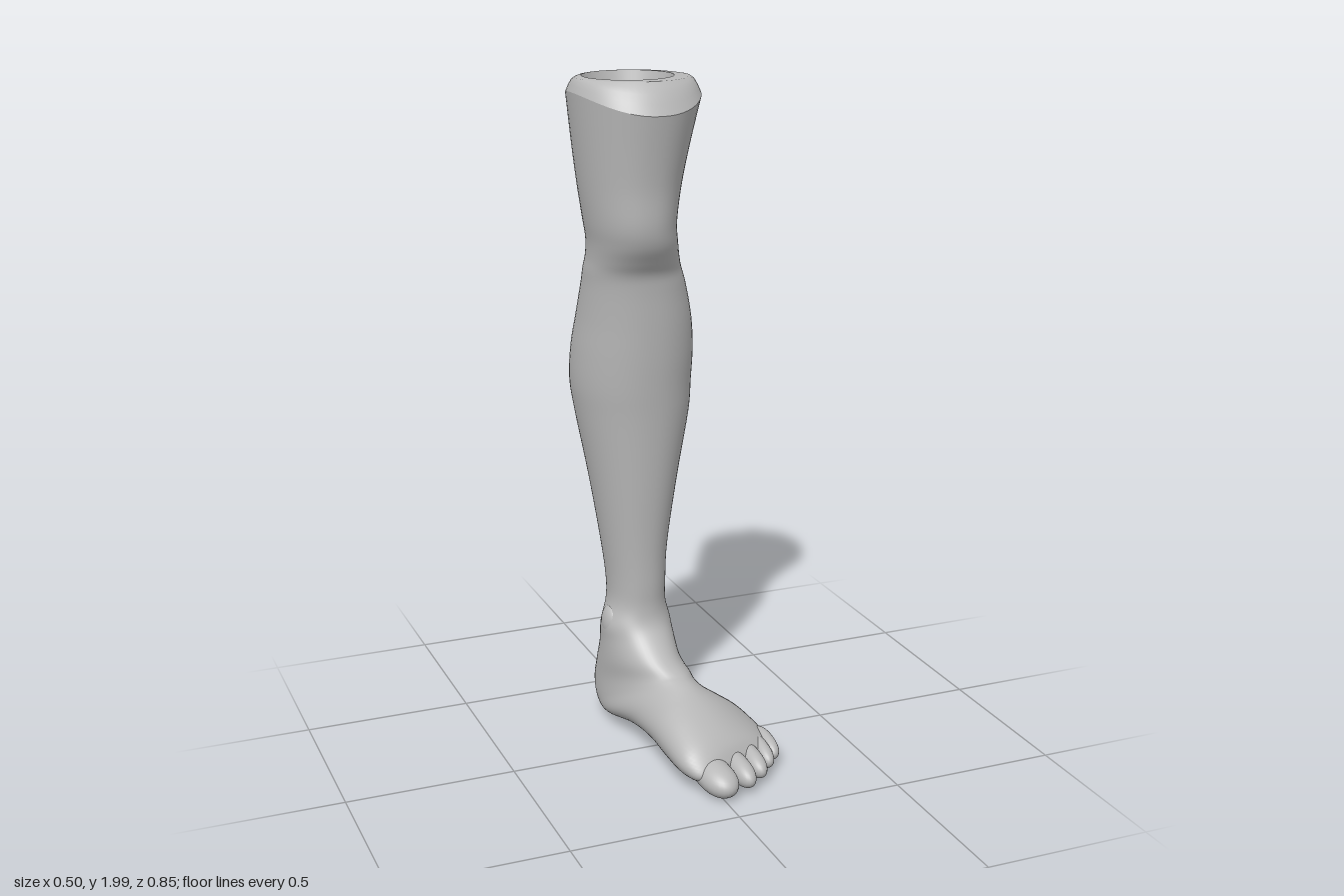
import * as THREE from 'three';

const SEG = 56;

// Shin and knee, top to bottom: [y, xMin, xMax, zFront, zBack]
const LEG = [
  [1.91, -0.248, 0.12, 0.086, -0.344],
  [1.8, -0.235, 0.087, 0.066, -0.322],
  [1.7, -0.222, 0.062, 0.052, -0.303],
  [1.6, -0.208, 0.047, 0.047, -0.29],
  [1.54, -0.198, 0.054, 0.032, -0.287],
  [1.49, -0.196, 0.068, 0.002, -0.291],
  [1.45, -0.199, 0.084, -0.022, -0.305],
  [1.4, -0.2, 0.103, -0.03, -0.328],
  [1.3, -0.206, 0.13, -0.037, -0.375],
  [1.2, -0.214, 0.143, -0.045, -0.412],
  [1.1, -0.214, 0.142, -0.055, -0.428],
  [1.0, -0.2, 0.135, -0.065, -0.416],
  [0.8, -0.165, 0.095, -0.082, -0.374],
  [0.6, -0.135, 0.062, -0.1, -0.336],
  [0.48, -0.122, 0.054, -0.107, -0.317],
  [0.41, -0.124, 0.054, -0.11, -0.308],
];

// Foot sections, fanning from the ankle to the toe roots:
// [zTop, yTop, zBottom, yBottom, xTop, xBottom, halfWidth, rake, sag]
const FOOT = [
  [-0.1, 0.36, -0.305, 0.33, -0.038, -0.038, 0.106, 0, 0.02],
  [-0.07, 0.32, -0.32, 0.26, -0.03, -0.04, 0.108, 0, 0.06],
  [-0.015, 0.272, -0.352, 0.18, -0.02, -0.046, 0.11, 0, 0.12],
  [0.03, 0.245, -0.37, 0.1, 0, -0.05, 0.115, 0, 0.18],
  [0.05, 0.235, -0.345, 0.035, 0.005, -0.045, 0.12, 0.04, 0.24],
  [0.07, 0.226, -0.27, 0.017, 0.01, -0.03, 0.127, 0.1, 0.28],
  [0.095, 0.213, -0.15, 0.025, 0.01, 0.05, 0.143, 0.18, 0.3],
  [0.13, 0.198, -0.02, 0.03, 0.01, 0.1, 0.158, 0.28, 0.3],
  [0.18, 0.178, 0.1, 0.012, 0.015, 0.13, 0.166, 0.37, 0.3],
  [0.24, 0.148, 0.19, 0.012, 0.03, 0.125, 0.163, 0.46, 0.25],
  [0.28, 0.118, 0.258, 0.02, 0.06, 0.1, 0.143, 0.5, 0.15],
  [0.305, 0.085, 0.298, 0.045, 0.08, 0.09, 0.115, 0.5, 0],
];

// Skin a list of closed rings with smooth normals
function loft(rings, name, material) {
  const pos = [], idx = [];
  rings.forEach(r => r.forEach(p => pos.push(p.x, p.y, p.z)));
  for (let i = 0; i < rings.length - 1; i++) {
    for (let j = 0; j < SEG; j++) {
      const k = (j + 1) % SEG;
      const a = i * SEG + j, b = i * SEG + k, c = a + SEG, d = b + SEG;
      idx.push(a, b, c, b, d, c);
    }
  }
  const g = new THREE.BufferGeometry();
  g.setAttribute('position', new THREE.Float32BufferAttribute(pos, 3));
  g.setIndex(idx);
  g.computeVertexNormals();
  const mesh = new THREE.Mesh(g, material);
  mesh.name = name;
  return mesh;
}

const ringOf = fn => Array.from({ length: SEG }, (_, j) => fn((j / SEG) * Math.PI * 2));
const circle = (x, y, z, r) =>
  ringOf(a => new THREE.Vector3(x + r * Math.cos(a), y, z + r * Math.sin(a)));

// One body section; lift raises its sides for the saddle-shaped rim
function sectionRing([zF, yF, zB, yB, cF, cB, w, rake, sag, lift]) {
  return ringOf(a => {
    const c = Math.cos(a), v = Math.sin(a);
    const s = (v + sag * (v * v - 1) + 1) / 2;
    const t = (v + 1) / 2;
    const x = cB + (cF - cB) * t + w * Math.sign(c) * Math.pow(Math.abs(c), 0.92);
    return new THREE.Vector3(
      x,
      yB + (yF - yB) * s + lift * c * c,
      zB + (zF - zB) * s - rake * (x - 0.08));
  });
}

// Smooth interpolation through the section table
function refine(rows, steps) {
  const out = [];
  const at = i => rows[Math.max(0, Math.min(rows.length - 1, i))];
  for (let i = 0; i < rows.length - 1; i++) {
    for (let s = 0; s < steps; s++) {
      const t = s / steps;
      out.push(rows[i].map((p1, n) => {
        const p0 = at(i - 1)[n], p2 = at(i + 1)[n], p3 = at(i + 2)[n];
        return p1 + 0.5 * t * (p2 - p0 + t * (2 * p0 - 5 * p1 + 4 * p2 - p3
          + t * (3 * (p1 - p2) + p3 - p0)));
      }));
    }
  }
  out.push(rows[rows.length - 1]);
  return out;
}

export function createModel() {
  const group = new THREE.Group();
  group.name = 'lowerLeg';
  const grey = new THREE.MeshStandardMaterial({ color: 0xb8b8b8 });
  grey.name = 'plain grey';

  // Knee, calf, ankle and foot as one continuous skin
  const legRows = LEG.map(([y, x0, x1, zF, zB], i) => {
    const c = (x0 + x1) / 2;
    return [zF, y, zB, y, c, c, (x1 - x0) / 2, 0, 0, [0.05, 0.02][i] || 0];
  });
  const rows = refine([...legRows, ...FOOT.map(r => [...r, 0])], 5);
  const rings = rows.map(sectionRing);
  const rim = rings[0];
  const last = rings[rings.length - 1];
  const end = last.reduce((s, p) => s.add(p), new THREE.Vector3()).divideScalar(SEG);
  end.z += 0.01;
  group.add(loft([...rings, last.map(() => end)], 'legAndFoot', grey));

  // Rounded shoulder between the thigh rim and the flat top
  const topEdge = circle(-0.065, 1.997, -0.128, 0.155);
  const shoulder = [0, 0.25, 0.5, 0.75, 1].map(t => topEdge.map((p, j) => {
    const q = p.clone().lerp(rim[j], t);
    q.y += 0.012 * Math.sin(Math.PI * t);
    q.y = Math.min(q.y, 2);
    return q;
  }));
  group.add(loft(shoulder, 'topShoulder', grey));

  // Flat lip and tapered socket
  const mouth = circle(-0.08, 2, -0.128, 0.129);
  const floorY = 1.74;
  const floorRing = circle(-0.072, floorY, -0.13, 0.055);
  group.add(loft([mouth, topEdge], 'topLip', grey));
  group.add(loft([floorRing, mouth], 'socketWall', grey));
  group.add(loft([circle(-0.072, floorY, -0.13, 0), floorRing], 'socketFloor', grey));

  // Ankle bones
  const ball = (name, x, y, z, rx, ry, rz) => {
    const m = new THREE.Mesh(new THREE.SphereGeometry(1, 28, 20), grey);
    m.name = name;
    m.position.set(x, y, z);
    m.scale.set(rx, ry, rz);
    group.add(m);
    return m;
  };
  ball('innerAnkleBone', -0.112, 0.345, -0.2, 0.034, 0.06, 0.05);
  ball('outerAnkleBone', 0.045, 0.305, -0.235, 0.034, 0.06, 0.045);

  // Toes from big to little: [x, zTip, halfWidth, halfHeight, halfLength, turn]
  const toes = [
    [-0.004, 0.427, 0.053, 0.044, 0.1, 0.16],
    [0.079, 0.4, 0.034, 0.037, 0.09, 0.08],
    [0.136, 0.36, 0.031, 0.035, 0.085, 0.04],
    [0.184, 0.312, 0.027, 0.033, 0.08, 0],
    [0.22, 0.27, 0.026, 0.031, 0.075, 0],
  ];
  toes.forEach(([x, tip, rx, ry, rz, turn], i) => {
    const toe = ball(`toe${i + 1}`, x, 0.06, tip - rz, rx, ry, rz);
    toe.rotation.set(0.16, turn, 0);
    // Fuller, blunter tip
    const p = toe.geometry.attributes.position;
    for (let n = 0; n < p.count; n++) {
      const z = p.getZ(n);
      if (z > 0) p.setZ(n, Math.pow(z, 0.75));
    }
    toe.geometry.computeVertexNormals();
  });

  return group;
}
